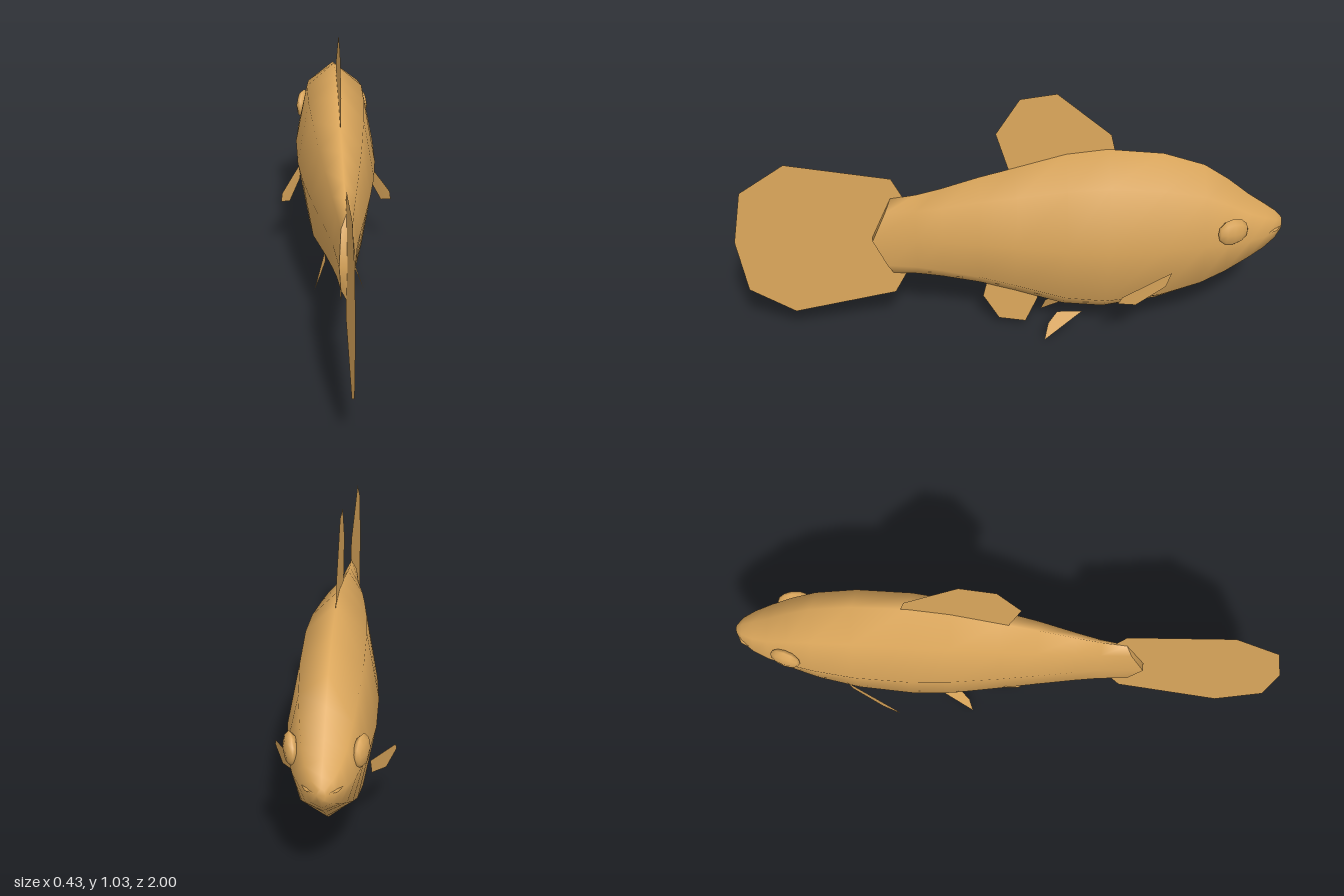
import * as THREE from 'three';

const scale = new THREE.MeshStandardMaterial({ color: 0xdda85c });
scale.name = 'goldenScale';
const finMat = new THREE.MeshStandardMaterial({ color: 0xdda85c, side: THREE.DoubleSide });
finMat.name = 'goldenFin';

// Body stations from nose to tail: z, top, bottom, half width
const STATIONS = [
  [-1, 0.465, 0.415, 0.015], [-0.975, 0.495, 0.38, 0.048], [-0.93, 0.53, 0.34, 0.078],
  [-0.87, 0.575, 0.295, 0.103], [-0.79, 0.645, 0.23, 0.122], [-0.7, 0.71, 0.17, 0.137],
  [-0.55, 0.765, 0.11, 0.15], [-0.35, 0.79, 0.08, 0.148], [-0.2, 0.775, 0.1, 0.135],
  [-0.02, 0.725, 0.17, 0.11], [0.11, 0.69, 0.215, 0.088], [0.25, 0.645, 0.25, 0.06],
  [0.34, 0.622, 0.267, 0.043], [0.43, 0.61, 0.275, 0.028],
];
const SIDES = 8;

// Octagonal ring; the last one bulges backwards in the middle
function ringPoints([z, top, bottom, w], bulge) {
  return Array.from({ length: SIDES }, (_, j) => {
    const a = (j / SIDES) * Math.PI * 2;
    return [
      w * Math.cos(a),
      (top + bottom) / 2 + ((top - bottom) / 2) * Math.sin(a),
      z + bulge * (1 - Math.abs(Math.sin(a))),
    ];
  });
}

function bufferOf(points, index) {
  const g = new THREE.BufferGeometry();
  g.setAttribute('position', new THREE.Float32BufferAttribute(points.flat(), 3));
  g.setIndex(index);
  g.computeVertexNormals();
  return g;
}

function bodyGeometry() {
  const last = STATIONS.length - 1;
  const pts = STATIONS.flatMap((s, i) => ringPoints(s, i === last ? 0.07 : 0));
  const index = [];
  for (let i = 0; i < last; i++) {
    for (let j = 0; j < SIDES; j++) {
      const a = i * SIDES + j, b = i * SIDES + ((j + 1) % SIDES);
      index.push(a, b, a + SIDES, b, b + SIDES, a + SIDES);
    }
  }
  // Nose cap
  for (let j = 1; j < SIDES - 1; j++) index.push(0, j + 1, j);
  return bufferOf(pts, index);
}

// Separate cap keeps the tail edge sharp
function tailCapGeometry() {
  const pts = ringPoints(STATIONS[STATIONS.length - 1], 0.07);
  pts.push([0, 0.4425, 0.5]);
  const index = [];
  for (let j = 0; j < SIDES; j++) index.push(SIDES, j, (j + 1) % SIDES);
  return bufferOf(pts, index);
}

// Flat fin on the centre plane from [z, y] outline points
function medianFin(outline) {
  const g = new THREE.ShapeGeometry(new THREE.Shape(outline.map(([z, y]) => new THREE.Vector2(z, y))));
  return g.rotateY(-Math.PI / 2);
}

// Side fin as a fan of 3D points, mirrored by side
function sideFin(points, side) {
  const index = [];
  for (let j = 1; j < points.length - 1; j++) {
    index.push(0, ...(side > 0 ? [j, j + 1] : [j + 1, j]));
  }
  return bufferOf(points.map(([x, y, z]) => [x * side, y, z]), index);
}

export function createModel() {
  const fish = new THREE.Group();
  fish.name = 'fish';
  const add = (name, geometry, material) => {
    const mesh = new THREE.Mesh(geometry, material);
    mesh.name = name;
    fish.add(mesh);
    return mesh;
  };

  add('body', bodyGeometry(), scale);
  add('tailStump', tailCapGeometry(), scale);

  // Narrow lip line around the snout
  const mouth = add('mouth', new THREE.SphereGeometry(1, 10, 6), scale);
  mouth.scale.set(0.066, 0.012, 0.05);
  mouth.position.set(0, 0.442, -0.948);

  // Centre-line fins
  add('tailFin', medianFin([
    [0.38, 0.605], [0.425, 0.695], [0.8, 0.77], [0.965, 0.655], [1, 0.44],
    [0.965, 0.22], [0.8, 0.11], [0.425, 0.185], [0.38, 0.275],
  ]), finMat);
  add('dorsalFin', medianFin([
    [0, 0.7], [0.05, 0.87], [-0.035, 1.01], [-0.165, 1.027], [-0.36, 0.85], [-0.38, 0.76],
  ]), finMat);
  add('analFin', medianFin([
    [0.08, 0.24], [0.1, 0.15], [0.04, 0.04], [-0.06, 0.02], [-0.105, 0.13], [-0.1, 0.2],
  ]), finMat);

  // Paired fins and eyes
  for (const side of [1, -1]) {
    const label = side > 0 ? 'left' : 'right';
    add(label + 'PectoralFin', sideFin([
      [0.132, 0.325, -0.585], [0.21, 0.283, -0.395], [0.213, 0.257, -0.38],
      [0.18, 0.222, -0.45], [0.136, 0.267, -0.565],
    ], side), finMat);
    add(label + 'PelvicFin', sideFin([
      [0.05, 0.1, -0.175], [0.07, 0.06, -0.14], [0.095, 0, -0.125], [0.048, 0.095, -0.27],
    ], side), finMat);

    const eye = add(label + 'Eye', new THREE.SphereGeometry(0.058, 8, 6).rotateX(Math.PI / 2), scale);
    eye.scale.x = 0.42;
    eye.position.set(side * 0.115, 0.49, -0.8);
    eye.rotation.y = side * 0.25;
  }
  return fish;
}
